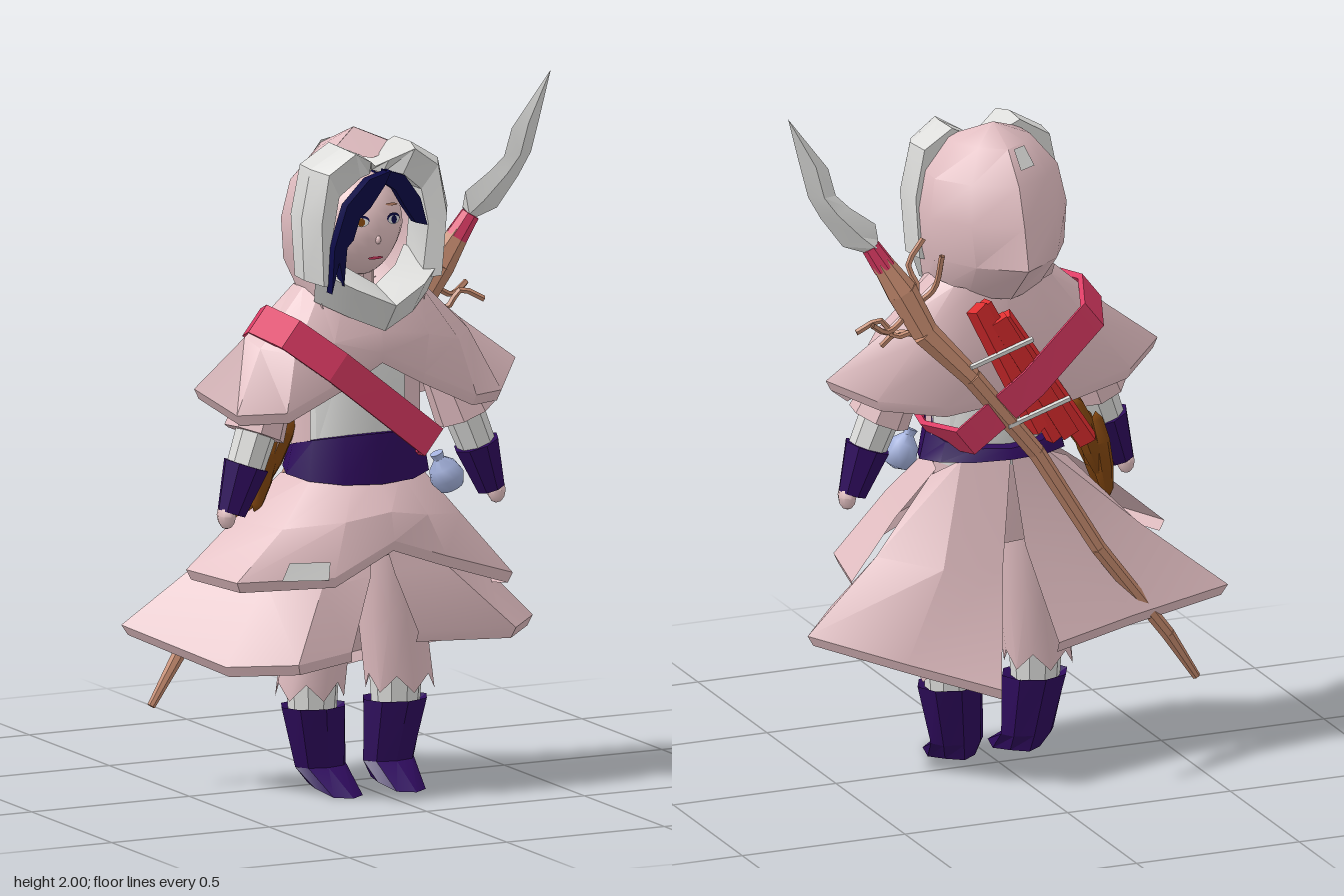
import * as THREE from 'three';
import { toCreasedNormals } from 'three/addons/utils/BufferGeometryUtils.js';

const mat = (name, color) => new THREE.MeshStandardMaterial({ name, color, side: THREE.DoubleSide });
const V = (a) => new THREE.Vector3(...a);

export function createModel() {
  const root = new THREE.Group();
  root.name = 'hoodedTraveller';
  const cloth = mat('pinkCloth', 0xe0bcc0), white = mat('paleFur', 0xdcdcda), purple = mat('purpleLeather', 0x2e0b5c),
    hair = mat('navyHair', 0x0b0945), crimson = mat('crimsonStrap', 0xdb3a63), red = mat('redArrows', 0xdc2c2e),
    wood = mat('wood', 0xc48a6e), brown = mat('darkBrown', 0x80450f), blue = mat('paleBlue', 0xa3b1dc), skin = mat('skin', 0xe6c3c4);

  const add = (name, geo, material, crease = 0.6) => {
    const m = new THREE.Mesh(toCreasedNormals(geo, crease), material);
    m.name = name;
    root.add(m);
    return m;
  };
  // Surface through rows of points; each row may be a closed loop
  const loft = (rows, closed = false) => {
    const n = rows[0].length, idx = [];
    for (let r = 0; r < rows.length - 1; r++)
      for (let i = 0; i < (closed ? n : n - 1); i++) {
        const j = (i + 1) % n, a = r * n + i, b = r * n + j;
        idx.push(a, a + n, b, b, a + n, b + n);
      }
    const g = new THREE.BufferGeometry();
    g.setAttribute('position', new THREE.Float32BufferAttribute(rows.flat(2), 3));
    g.setIndex(idx);
    return g;
  };
  // Turn columns (top to hem) into rows, with a folded-under hem
  const drape = (cols) => {
    const rows = cols[0].map((_, r) => cols.map((c) => c[r]));
    rows.push(rows.at(-1).map(([x, y, z]) => [x * 0.97, y - 0.03, z * 0.97]));
    return loft(rows);
  };
  const mirror = (pts) => [...pts, ...pts.slice(0, -1).reverse().map(([x, ...r]) => [-x, ...r])];
  const ring = (x, y, z, rx, rz, n = 8) => Array.from({ length: n }, (_, i) => {
    const a = (i / n) * Math.PI * 2;
    return [x + Math.sin(a) * rx, y, z + Math.cos(a) * rz];
  });
  const rod = (name, a, b, ra, rb, material, n = 7) => {
    const p = V(a), q = V(b), d = q.clone().sub(p);
    const m = add(name, new THREE.CylinderGeometry(rb, ra, d.length(), n), material);
    m.position.copy(p).add(q).multiplyScalar(0.5);
    m.quaternion.setFromUnitVectors(new THREE.Vector3(0, 1, 0), d.normalize());
    return m;
  };
  const ball = (name, pos, scale, material, w = 18, h = 12) => {
    const m = add(name, new THREE.SphereGeometry(1, w, h), material, 0.9);
    m.position.set(...pos);
    m.scale.set(...scale);
    return m;
  };

  // Head, narrowing to the chin
  const headGeo = new THREE.SphereGeometry(1, 24, 18), hp = headGeo.attributes.position;
  for (let i = 0; i < hp.count; i++) {
    const y = hp.getY(i);
    if (y < 0) hp.setX(i, hp.getX(i) * (1 + 0.25 * y));
  }
  const head = add('head', headGeo, skin, 1);
  head.position.set(-0.01, 1.635, 0.09);
  head.scale.set(0.125, 0.15, 0.13);
  ball('hairCap', [-0.01, 1.65, 0.06], [0.135, 0.14, 0.13], hair);
  rod('neck', [-0.01, 1.38, 0.06], [-0.01, 1.53, 0.07], 0.06, 0.055, skin, 10);

  // Face details laid on the head
  const onFace = (name, x, y, w, h, material, lift = 0.003) => {
    const u = (x + 0.01) / 0.125, v = (y - 1.635) / 0.15;
    const m = add(name, new THREE.CircleGeometry(1, 12), material);
    m.position.set(x, y, 0.09 + 0.13 * Math.sqrt(1 - u * u - v * v) + lift);
    m.rotation.set(-v * 0.7, u * 0.8, 0);
    m.scale.set(w, h, 1);
  };
  for (const s of [-1, 1]) {
    const x = -0.01 + s * 0.052;
    onFace('eyeLash', x, 1.662, 0.026, 0.016, hair);
    onFace('eyeWhite', x, 1.658, 0.023, 0.013, white, 0.005);
    onFace('iris', x, 1.659, 0.011, 0.012, s < 0 ? brown : hair, 0.007);
    onFace('brow', x, 1.7, 0.025, 0.004, wood);
  }
  onFace('lips', -0.01, 1.55, 0.025, 0.005, crimson);
  ball('nose', [-0.01, 1.605, 0.214], [0.008, 0.013, 0.011], skin);

  // Swept fringe
  const fringe = (name, pts, z, depth) => {
    const s = new THREE.Shape(pts.map((p) => new THREE.Vector2(...p)));
    add(name, new THREE.ExtrudeGeometry(s, { depth, bevelEnabled: false }), hair).position.z = z;
  };
  fringe('fringeRight', [[0.01, 1.81], [-0.06, 1.79], [-0.13, 1.72], [-0.17, 1.6], [-0.178, 1.47], [-0.155, 1.56],
    [-0.14, 1.49], [-0.13, 1.6], [-0.11, 1.62], [-0.09, 1.68], [-0.055, 1.71], [-0.01, 1.77]], 0.225, 0.035);
  fringe('fringeLeft', [[0, 1.81], [0.06, 1.79], [0.11, 1.72], [0.132, 1.64], [0.095, 1.65], [0.06, 1.7], [0.03, 1.75], [0, 1.77]], 0.215, 0.03);

  // Hood: y, half width, back z, front z
  add('hood', loft([[1.9, 0.001, 0.04, 0.042], [1.85, 0.11, -0.07, 0.12], [1.76, 0.18, -0.15, 0.13], [1.65, 0.2, -0.19, 0.13],
    [1.53, 0.19, -0.22, 0.14], [1.41, 0.16, -0.09, 0.17]].map(([y, w, b, f]) => mirror([
    [w, y, f], [w * 1.05, y, f + (b - f) * 0.4], [w * 0.65, y, f + (b - f) * 0.75], [0, y, b]]))), cloth, 0.8);
  add('hoodBrow', loft([[[-0.11, 1.85, 0.12], [0, 1.83, 0.16], [0.11, 1.85, 0.12]], [[0, 1.9, 0.042], [0, 1.9, 0.042], [0, 1.9, 0.042]]]), cloth);
  add('hoodPatch', loft([[[-0.015, 1.85, -0.076], [-0.057, 1.85, -0.051]], [[-0.02, 1.798, -0.116], [-0.074, 1.798, -0.085]]]), white);

  // Chunky fur trim, dipping at the crown: outer x, y, inner x, y, front z
  const trimHalf = [[0.2, 1.5, 0.13, 1.48, 0.24], [0.212, 1.68, 0.145, 1.64, 0.25], [0.185, 1.82, 0.125, 1.74, 0.245],
    [0.1, 1.875, 0.065, 1.79, 0.25], [0.03, 1.84, 0.02, 1.79, 0.21], [0, 1.82, 0, 1.795, 0.18]];
  for (const s of [-1, 1])
    add('hoodTrim', loft(trimHalf.map(([ox, oy, ix, iy, f]) => [[ix, iy, f - 0.025], [ox * 0.9, oy - 0.01, f],
      [ox * 1.05, oy, f - 0.06], [ox, oy, 0.1], [ix, iy, 0.1]].map(([x, y, z]) => [x * (s < 0 ? -1.08 : 1), y, z])), true), white, 0.3);

  // V-shaped collar
  const collar = (w, ySide, yMid, zSide, zMid) => mirror([[w, ySide, zSide], [w * 0.55, (ySide + yMid) / 2, (zSide + zMid) / 2 + 0.02], [0, yMid, zMid]]);
  add('collar', loft([collar(0.13, 1.56, 1.47, 0.1, 0.18), collar(0.2, 1.53, 1.43, 0.2, 0.31),
    collar(0.18, 1.43, 1.345, 0.15, 0.24), collar(0.13, 1.43, 1.38, 0.08, 0.12)]), white, 0.4);

  // Shoulder cape: columns from the front centre to the back centre
  const capeHalf = [
    [[0, 1.42, 0.19], [0, 1.34, 0.22], [0, 1.28, 0.23]], [[0.1, 1.44, 0.18], [0.15, 1.32, 0.22], [0.13, 1.21, 0.23]],
    [[0.16, 1.45, 0.14], [0.26, 1.29, 0.19], [0.3, 1.13, 0.22]], [[0.18, 1.46, 0.08], [0.33, 1.3, 0.11], [0.42, 1.12, 0.14]],
    [[0.18, 1.46, 0.02], [0.34, 1.32, 0.03], [0.51, 1.19, 0.05]], [[0.15, 1.45, -0.03], [0.26, 1.3, -0.04], [0.39, 1.14, -0.04]],
    [[0.1, 1.44, -0.05], [0.15, 1.29, -0.075], [0.2, 1.11, -0.08]], [[0, 1.43, -0.06], [0, 1.28, -0.075], [0, 1.13, -0.08]]];
  for (const s of [-1, 1])
    add('cape', drape(capeHalf.map((c) => c.map(([x, y, z]) => [x * s, y, z]))), cloth, 0.5);

  // Body, jacket fronts, hips and sash
  add('torso', loft([ring(0, 1.42, 0.05, 0.12, 0.09, 12), ring(0, 1.25, 0.05, 0.18, 0.12, 12), ring(0, 1, 0.05, 0.18, 0.13, 12),
    ring(0, 0.91, 0.05, 0.18, 0.12, 12)], true), white);
  add('hips', loft([ring(0, 0.93, 0.05, 0.18, 0.12, 12), ring(0, 0.68, 0.05, 0.17, 0.12, 12), ring(0, 0.67, 0.05, 0.001, 0.001, 12)], true), cloth);
  for (const [from, to] of [[0.5, 1.7], [-1.7, -1.1]])
    add('jacketFront', loft([1.27, 0.98].map((y) => Array.from({ length: 5 }, (_, i) => {
      const a = from + ((to - from) * i) / 4;
      return [Math.sin(a) * 0.195, y, 0.05 + Math.cos(a) * 0.145];
    }))), cloth);
  add('sash', loft([[1.01, 0.16, 0.25], [1.005, 0.2, 0.25], [0.92, 0.22, -0.12], [0.92, 0.16, -0.12]].map(([y, r, tilt]) =>
    ring(0, y, 0.055, r, r * 0.76, 12).map(([x, yy, z]) => [x, yy + tilt * (z - 0.05), z])), true), purple);

  // Overskirt and split lower skirt
  add('overskirt', drape([
    [[-0.2, 0.91, -0.02], [-0.36, 0.79, 0], [-0.51, 0.66, 0.0]], [[-0.17, 0.92, 0.12], [-0.3, 0.79, 0.19], [-0.45, 0.65, 0.2]],
    [[-0.07, 0.92, 0.18], [-0.14, 0.81, 0.27], [-0.19, 0.66, 0.3]], [[0, 0.92, 0.19], [0, 0.83, 0.28], [0, 0.75, 0.3]],
    [[0.08, 0.92, 0.18], [0.12, 0.81, 0.27], [0.17, 0.69, 0.29]], [[0.17, 0.92, 0.12], [0.26, 0.79, 0.2], [0.41, 0.61, 0.23]],
    [[0.2, 0.91, -0.02], [0.3, 0.76, 0.04], [0.43, 0.58, 0.05]]]), cloth, 0.5);
  add('rightSkirtFlap', drape([
    [[0, 0.85, 0.15], [-0.04, 0.64, 0.23], [-0.13, 0.44, 0.29]], [[-0.12, 0.85, 0.12], [-0.2, 0.62, 0.24], [-0.31, 0.42, 0.31]],
    [[-0.19, 0.87, 0.06], [-0.33, 0.64, 0.14], [-0.46, 0.4, 0.15]], [[-0.2, 0.9, -0.02], [-0.4, 0.69, -0.06], [-0.65, 0.49, -0.13]],
    [[-0.12, 0.94, -0.07], [-0.22, 0.68, -0.12], [-0.33, 0.46, -0.2]], [[0, 0.95, -0.09], [-0.01, 0.7, -0.17], [-0.05, 0.45, -0.32]]]), cloth, 0.5);
  add('leftSkirtFlap', drape([
    [[0, 0.85, 0.15], [0.04, 0.64, 0.22], [0.1, 0.47, 0.25]], [[0.14, 0.85, 0.11], [0.22, 0.64, 0.2], [0.42, 0.45, 0.23]],
    [[0.2, 0.88, 0.02], [0.36, 0.65, 0.04], [0.57, 0.44, 0.04]], [[0.14, 0.94, -0.06], [0.22, 0.64, -0.12], [0.34, 0.38, -0.14]],
    [[0, 0.95, -0.09], [0.05, 0.64, -0.15], [0.1, 0.31, -0.26]]]), cloth, 0.5);
  add('skirtPatch', loft([[[-0.31, 0.705, 0.253], [-0.2, 0.705, 0.292]], [[-0.335, 0.655, 0.256], [-0.21, 0.655, 0.303]]]), white);

  for (const s of [-1, 1]) {
    const x = s * 0.115;
    // Trousers with a ragged hem, white stockings
    add('trouserLeg', loft([ring(x * 0.8, 0.78, 0.05, 0.09, 0.1, 12), ring(x, 0.5, 0.05, 0.095, 0.1, 12),
      ring(x * 1.25, 0.27, 0.05, 0.1, 0.09, 12).map(([a, y, z], i) => [a, y + (i % 2) * 0.05, z])], true), cloth);
    rod('stocking', [x * 1.15, 0.235, 0.045], [x * 1.15, 0.38, 0.045], 0.07, 0.08, white, 10);
    // Pointed boots: y, half width, back z, front z, x
    const boot = [[0.22, 0.05, 0.02, 0.07, 0.13], [0.245, 0.1, -0.04, 0.13, 0.13], [0.07, 0.08, -0.005, 0.1, 0.108],
      [0.005, 0.065, 0.01, 0.24, 0.1], [0.005, 0.001, 0.1, 0.11, 0.1]];
    add('boot', loft(boot.map(([y, w, b, f, c], r) => ring(s * c, y, 0, w, 1).map(([a, yy, z]) =>
      [a, yy + (r === 3 && z < 0 ? 0.015 : 0), (b + f) / 2 + (z * (f - b)) / 2])), true), purple, 0.4);
    // Sleeves, cuffs, gloves, hands
    rod('sleeve', [s * 0.22, 1.33, 0.05], [s * 0.335, 1.05, 0.08], 0.06, 0.09, cloth, 8);
    rod('cuff', [s * 0.32, 1.08, 0.08], [s * 0.37, 0.95, 0.09], 0.06, 0.055, white, 8);
    rod('glove', [s * 0.365, 0.965, 0.09], [s * 0.412, 0.83, 0.09], 0.068, 0.042, purple, 8);
    ball('hand', [s * 0.428, 0.825, 0.09], [0.026, 0.04, 0.034], skin, 8, 6);
  }

  // Tilted shoulder strap, as a loop of u (along the slope) and z
  const loop = [[-0.31, 0.04], [-0.28, 0.19], [-0.13, 0.238], [0.02, 0.23], [0.25, 0.21], [0.28, 0.05], [0.24, -0.12], [0, -0.14], [-0.25, -0.09], [-0.31, 0.04]];
  add('strap', loft(loop.map(([u, z]) => [[1, -0.047], [1, 0.047], [1.06, 0.047], [1.06, -0.047]].map(([k, w]) =>
    [-0.045 + 0.79 * u * k + 0.62 * w, 1.17 - 0.62 * u * k + 0.79 * w, z * k])), true), crimson, 0.3);

  // Round flask with a short neck at the hip
  const flask = [[0, -0.055], [0.035, -0.045], [0.05, -0.01], [0.04, 0.025], [0.016, 0.05], [0.02, 0.068], [0, 0.07]].map((p) => new THREE.Vector2(...p));
  const drop = add('flask', new THREE.LatheGeometry(flask, 12), blue, 1);
  drop.position.set(0.22, 0.905, 0.185);
  drop.rotation.z = 0.45;

  // Dried bundle on the right hip
  for (let i = 0; i < 6; i++) {
    const m = ball('herbBundle', [-0.235 - i * 0.014, 1.0 - i * 0.026 + (i % 2) * 0.02, 0.04 - (i % 3) * 0.035], [0.032, 0.135, 0.026], brown, 6, 5);
    m.rotation.z = -0.45 + i * 0.06;
  }

  // Red arrow bundle on the back
  for (let i = 0; i < 4; i++) {
    const m = add('arrowBundle', new THREE.BoxGeometry(0.05, 0.48 - (i % 2) * 0.05, 0.04), red);
    m.position.set(-0.1 + i * 0.04, 1.165 + i * 0.016, -0.1 - (i % 2) * 0.012);
    m.rotation.set(0, 0.3 * (i - 1.5), -0.58 + i * 0.04, 'ZYX');
  }
  for (const y of [1.08, 1.27]) rod('binding', [-0.16 + (y - 1.08) * 0.6, y + 0.03, -0.14], [0.03 + (y - 1.08) * 0.6, y - 0.03, -0.14], 0.009, 0.009, white, 5);

  // Spear: knotted shaft, twigs, wrap and blade
  const shaft = [[-0.54, 0.24, -0.16, 0.012], [-0.45, 0.38, -0.165, 0.02], [-0.24, 0.66, -0.155, 0.023], [-0.06, 0.96, -0.13, 0.026],
    [0.13, 1.2, -0.11, 0.03], [0.26, 1.34, -0.075, 0.04], [0.32, 1.46, -0.05, 0.046], [0.38, 1.56, -0.03, 0.03]];
  for (let i = 0; i < shaft.length - 1; i++)
    rod('spearShaft', shaft[i].slice(0, 3), shaft[i + 1].slice(0, 3), shaft[i][3], shaft[i + 1][3], wood);
  const twigs = [[[0.3, 1.4, -0.06], [0.27, 1.47, -0.05], [0.29, 1.53, -0.03], [0.24, 1.6, -0.02]],
    [[0.27, 1.42, -0.05], [0.23, 1.47, -0.08], [0.215, 1.57, -0.1]],
    [[0.28, 1.35, -0.07], [0.34, 1.33, -0.05], [0.38, 1.38, -0.04], [0.45, 1.35, -0.03]],
    [[0.3, 1.4, -0.06], [0.38, 1.36, -0.09], [0.43, 1.39, -0.1]], [[0.25, 1.32, -0.06], [0.32, 1.33, -0.02], [0.36, 1.29, 0]]];
  for (const t of twigs)
    add('twig', new THREE.TubeGeometry(new THREE.CatmullRomCurve3(t.map(V)), 8, 0.009, 5), wood);
  rod('spearWrap', [0.365, 1.535, -0.035], [0.405, 1.6, -0.025], 0.034, 0.028, crimson, 8);
  // Blade sections: left edge, ridge, right edge, ridge
  const blade = [[0.385, 1.62, 0.41, 1.58], [0.39, 1.665, 0.49, 1.61], [0.465, 1.72, 0.555, 1.7], [0.505, 1.76, 0.59, 1.765],
    [0.525, 1.84, 0.615, 1.87], [0.645, 2, 0.645, 2]];
  add('spearBlade', loft(blade.map(([ax, ay, bx, by], i) => {
    const z = -0.035 + i * 0.008, t = i === 5 ? 0 : 0.018, mx = (ax + bx) / 2, my = (ay + by) / 2;
    return [[ax, ay, z], [mx, my, z + t], [bx, by, z], [mx, my, z - t]];
  }), true), white, 0.3);

  return root;
}
